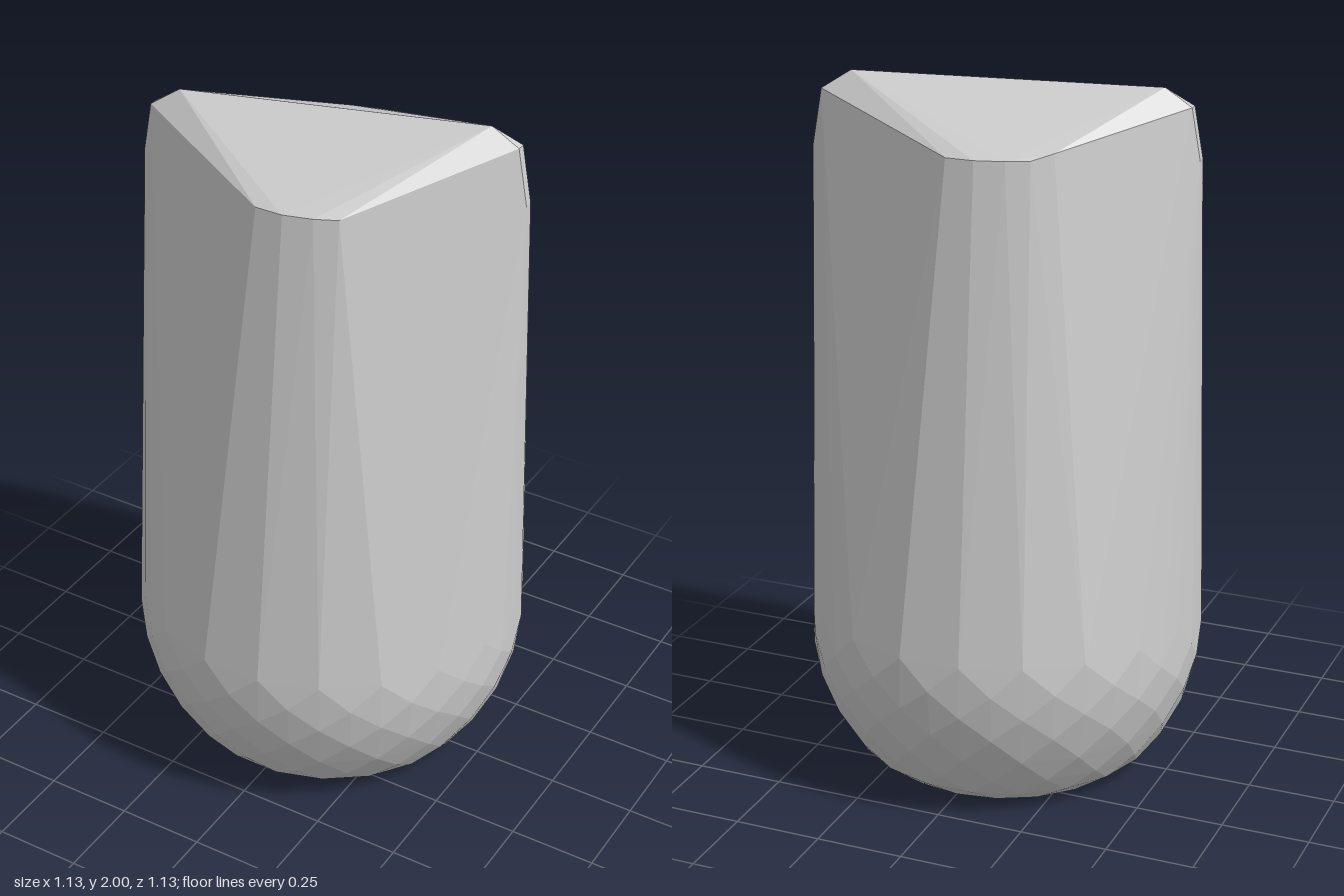
import * as THREE from 'three';
import { ConvexGeometry } from 'three/addons/geometries/ConvexGeometry.js';

export function createModel() {
  const group = new THREE.Group();
  const material = new THREE.MeshStandardMaterial({ color: 0xcccccc, flatShading: true });
  const points = [];
  const add = (x, y, z) => points.push(new THREE.Vector3(x, y, z));

  // Faceted rounded base: staggered rings of a sphere cut flat at the floor
  const R = 0.565, centreY = 0.41, sides = 20;
  const heights = [0, 0.05, 0.11, 0.19, 0.27, 0.34, 0.41, 0.49];
  heights.forEach((y, ring) => {
    const r = y === 0 ? 0.37 : Math.sqrt(R * R - (y - centreY) ** 2);
    for (let i = 0; i < sides; i++) {
      const a = ((i + (ring % 2) * 0.5) / sides) * Math.PI * 2;
      add(r * Math.cos(a), y, r * Math.sin(a));
    }
  });

  // Slanted ridge with blunted ends, running corner to corner across the top
  add(-0.42, 1.98, 0.09);
  add(0.41, 2.0, -0.115);
  for (const w of [-0.012, 0.012]) {
    add(-0.495, 1.93, 0.108 + w);
    add(0.485, 1.95, -0.137 + w);
    add(-0.52, 1.79, 0.11 + w);
    add(0.515, 1.79, -0.135 + w);
  }

  // Rounded lower edges of the two roof slopes
  const eave = [[-0.04, 0.318], [0.04, 0.318], [0.12, 0.296], [0.18, 0.268]];
  for (const [x, z] of eave) {
    add(x, 1.84, z);
    add(-x, 1.84, -z - 0.006);
  }
  add(-0.23, 1.855, -0.23);

  const body = new THREE.Mesh(new ConvexGeometry(points), material);
  body.name = 'body';
  group.add(body);
  return group;
}
